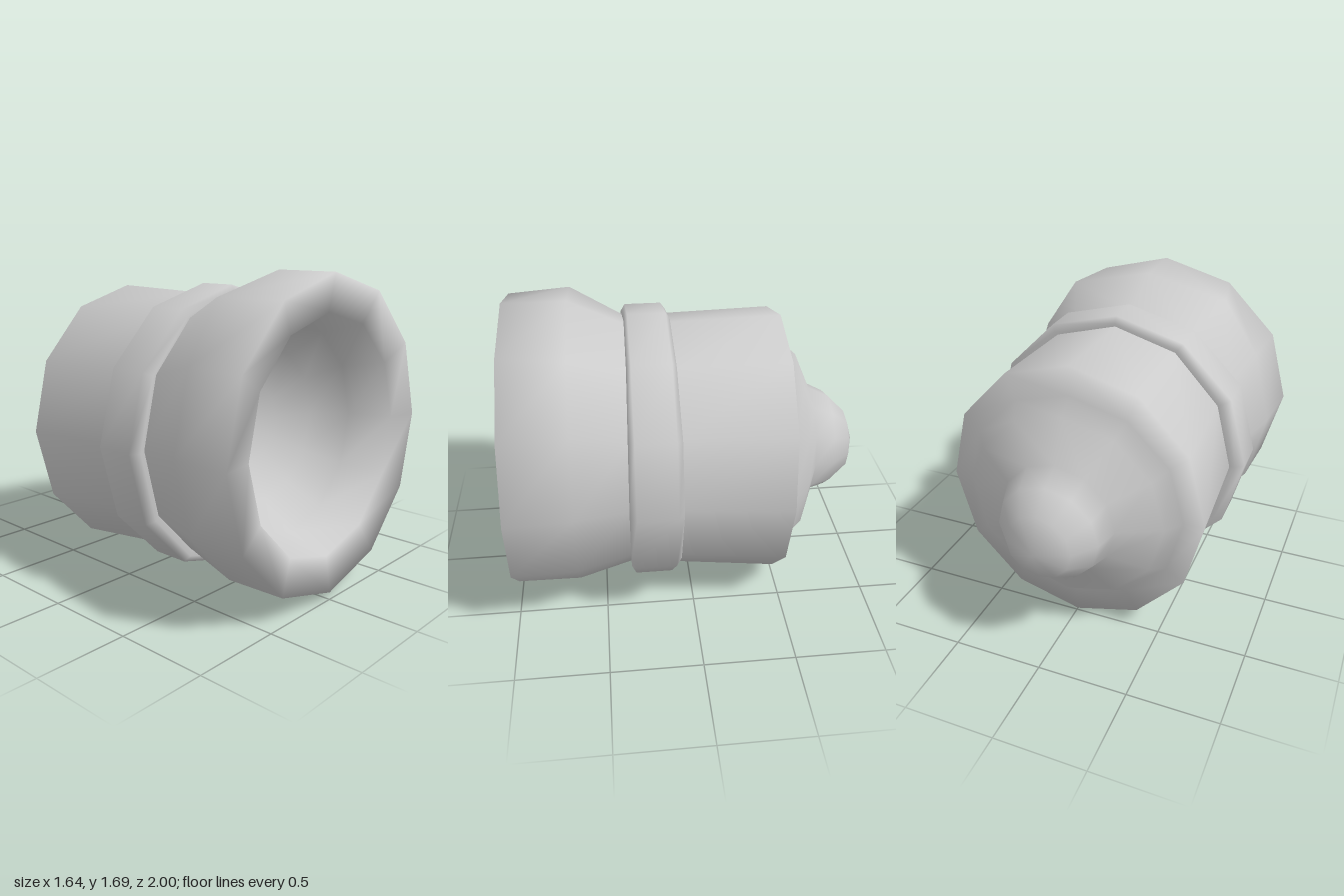
import * as THREE from 'three';

const SIDES = 12;
const material = new THREE.MeshStandardMaterial({ color: 0xcccccc });

// Smooth loft through twelve-sided rings.
// Ring: [z, centreY, radiusX, radiusY, tilt (bottom forward), bow (sides forward)]; radius 0 makes a pole.
function loft(name, rings, adjust) {
  const positions = [], rows = [], index = [];
  rings.forEach(([z, cy, rx, ry, tilt = 0, bow = 0], ring) => {
    const start = positions.length / 3, pole = rx === 0;
    rows.push(Array.from({ length: SIDES }, (_, i) => (pole ? start : start + i)));
    for (let i = 0; i < (pole ? 1 : SIDES); i++) {
      const a = (i / SIDES) * Math.PI * 2;
      const p = new THREE.Vector3(
        rx * Math.sin(a),
        cy + ry * Math.cos(a),
        z - tilt * Math.cos(a) + bow * Math.sin(a) ** 2
      );
      if (adjust) adjust(p, ring, i);
      positions.push(p.x, p.y, p.z);
    }
  });
  for (let r = 0; r < rows.length - 1; r++) {
    for (let i = 0; i < SIDES; i++) {
      const j = (i + 1) % SIDES;
      const a = rows[r][i], b = rows[r][j], c = rows[r + 1][i], d = rows[r + 1][j];
      if (a !== b) index.push(a, b, c);
      if (c !== d) index.push(b, d, c);
    }
  }
  const geometry = new THREE.BufferGeometry();
  geometry.setAttribute('position', new THREE.Float32BufferAttribute(positions, 3));
  geometry.setIndex(index);
  geometry.computeVertexNormals();
  const mesh = new THREE.Mesh(geometry, material);
  mesh.name = name;
  return mesh;
}

export function createModel() {
  const group = new THREE.Group();
  group.name = 'model';

  // Flared mouth: hollow bowl, rim, then the outer wall narrowing to the band
  const SHOULDER = 6;
  group.add(loft('mouth', [
    [0.42, 0.86, 0, 0],
    [0.45, 0.86, 0.22, 0.22, 0.005],
    [0.55, 0.86, 0.42, 0.42, 0.01],
    [0.72, 0.865, 0.56, 0.56, 0.015],
    [0.95, 0.865, 0.63, 0.63, 0.02],
    [0.98, 0.865, 0.82, 0.825, 0.02],
    [0.635, 0.855, 0.79, 0.835, 0.015],
    [0.34, 0.825, 0.70, 0.725, 0.01],
    [0.2, 0.82, 0.69, 0.72, 0.01],
  ], (p, ring, i) => {
    // Small raised corners on the upper shoulder
    if (ring === SHOULDER && (i === 1 || i === SIDES - 1)) p.x = 0.48 * Math.sign(p.x);
  }));

  // Raised band around the middle
  group.add(loft('band', [
    [0.325, 0.82, 0.67, 0.69, 0.008, 0.02],
    [0.335, 0.815, 0.73, 0.75, 0.008, 0.02],
    [0.315, 0.815, 0.78, 0.785, 0.008, 0.005],
    [0.11, 0.815, 0.78, 0.785, 0.008, -0.003],
    [0.088, 0.815, 0.73, 0.75, 0.008, -0.015],
    [0.098, 0.815, 0.67, 0.69, 0.008, -0.015],
  ]));

  // Rear barrel, stepped cone and rounded knob
  group.add(loft('barrelAndKnob', [
    [0.2, 0.81, 0.695, 0.735, 0.005],
    [0.085, 0.808, 0.70, 0.738, 0.005],
    [-0.505, 0.78, 0.73, 0.78, 0.018],
    [-0.518, 0.78, 0.62, 0.62, 0.012],
    [-0.61, 0.78, 0.545, 0.54, 0.01],
    [-0.708, 0.775, 0.32, 0.325, 0.006],
    [-0.825, 0.758, 0.28, 0.278, 0.01],
    [-0.938, 0.75, 0.18, 0.18, 0],
    [-1.0, 0.742, 0, 0],
  ]));

  return group;
}
